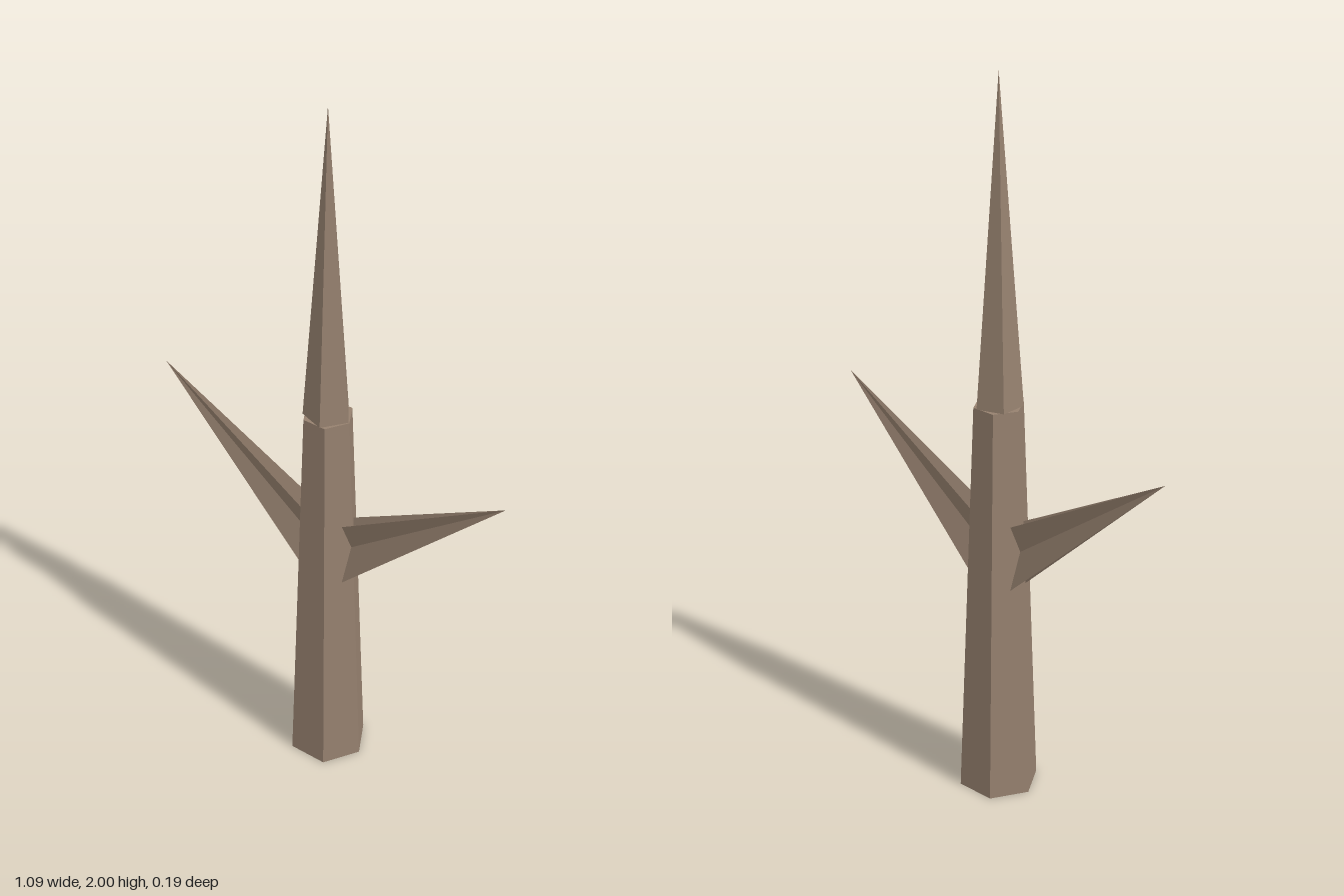
import * as THREE from 'three';

const bark = new THREE.MeshStandardMaterial({ color: 0x96816f });
bark.name = 'bark';

function part(name, geometry) {
  const flat = geometry.toNonIndexed();
  flat.computeVertexNormals();
  const mesh = new THREE.Mesh(flat, bark);
  mesh.name = name;
  return mesh;
}

// Spike with a four-pointed star section, its ridges spread at the base
function branchGeometry(length) {
  const geometry = new THREE.ConeGeometry(1, length, 8, 1);
  const pos = geometry.attributes.position;
  for (let i = 0; i < pos.count; i++) {
    const x = pos.getX(i), z = pos.getZ(i);
    const ridge = Math.abs(x) > 0.1 && Math.abs(z) > 0.1;
    pos.setX(i, Math.abs(x) > 0.1 ? Math.sign(x) * (ridge ? 0.085 : 0.015) : 0);
    pos.setZ(i, Math.abs(z) > 0.1 ? Math.sign(z) * (ridge ? 0.032 : 0.005) : 0);
  }
  return geometry;
}

export function createModel() {
  const group = new THREE.Group();
  group.name = 'bareTree';

  // Six-sided tapering trunk with corners on the x axis
  const trunkHeight = 1.125;
  const trunk = new THREE.CylinderGeometry(0.068, 0.11, trunkHeight, 6);
  trunk.rotateY(Math.PI / 6).translate(0, trunkHeight / 2, 0);
  group.add(part('trunk', trunk));

  // Five-sided pointed top with one corner towards +x
  const topHeight = 2 - trunkHeight;
  const top = new THREE.ConeGeometry(0.065, topHeight, 5);
  top.rotateY(Math.PI / 2).translate(0, trunkHeight + topHeight / 2, 0);
  group.add(part('pointedTop', top));

  // One branch on each side, rising from inside the trunk
  const length = 0.675;
  const lean = THREE.MathUtils.degToRad(54);
  for (const side of [1, -1]) {
    const branch = branchGeometry(length);
    branch.translate(0, length / 2, 0).rotateZ(-side * lean).translate(0, 0.672, 0);
    group.add(part(side > 0 ? 'leftBranch' : 'rightBranch', branch));
  }

  return group;
}
